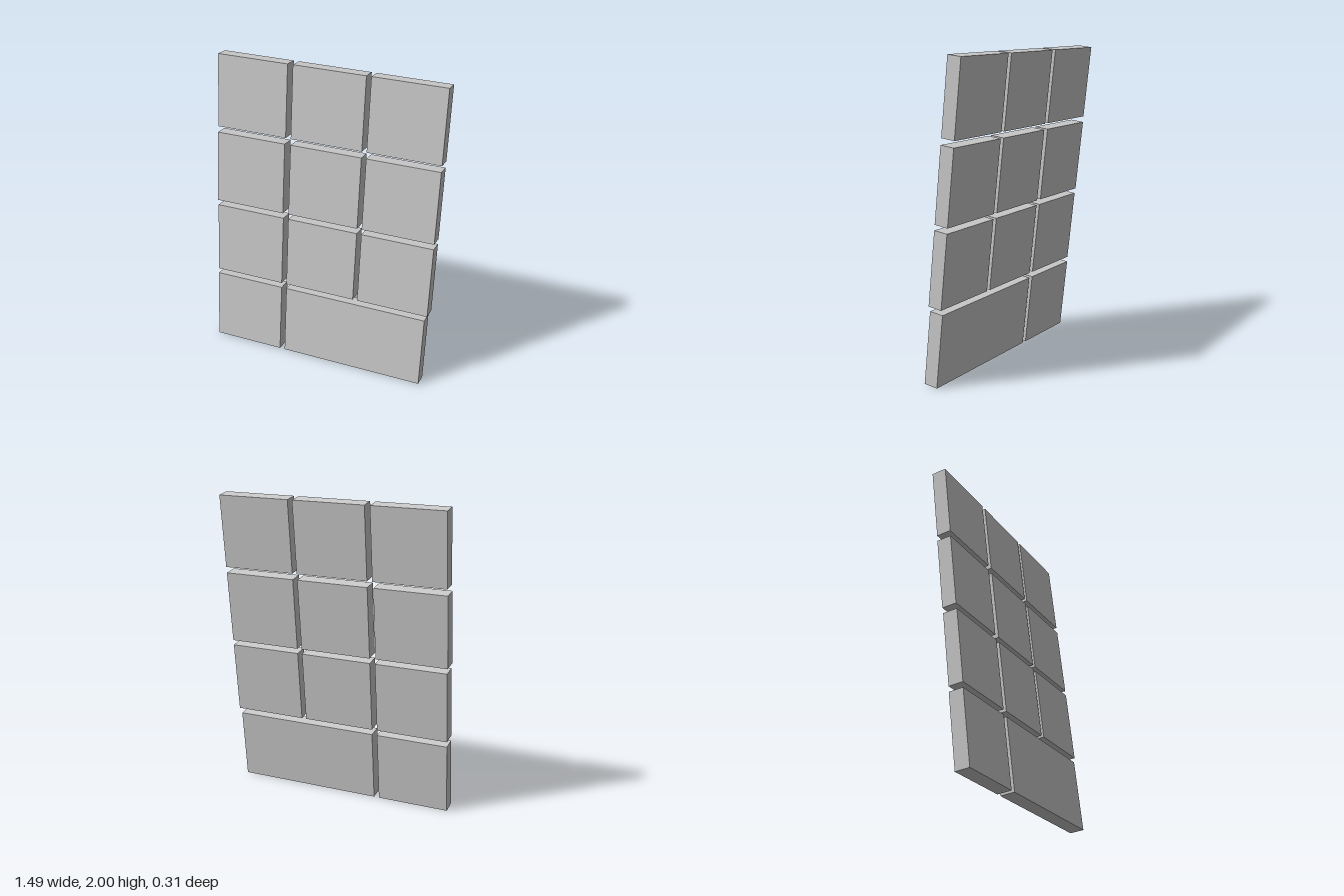
import * as THREE from 'three';

const TILT = -0.11;   // the panel leans back
const HEIGHT = 0.473; // tile height along the slope
const DEPTH = 0.093;

export function createModel() {
  const model = new THREE.Group();
  model.name = 'tilePanel';
  const material = new THREE.MeshStandardMaterial({ color: 0xcccccc, flatShading: true });

  // Left and right edges of the tiles in each row
  const left = [-0.742, -0.27], middle = [-0.235, 0.237], right = [0.268, 0.741];
  const rows = [
    { name: 'bottomRow', y: 0.241, z: 0.085, tiles: [left, [-0.235, 0.725]] },
    { name: 'lowerRow', y: 0.746, z: 0.031, tiles: [left, middle, right] },
    { name: 'upperRow', y: 1.25, z: -0.025, tiles: [[-0.746, -0.275], middle, right] },
    { name: 'topRow', y: 1.76, z: -0.082, tiles: [left, middle, right] },
  ];

  for (const { name, y, z, tiles } of rows) {
    const row = new THREE.Group();
    row.name = name;
    row.position.set(0, y, z);
    row.rotation.x = TILT;
    tiles.forEach(([x0, x1], i) => {
      const tile = new THREE.Mesh(new THREE.BoxGeometry(x1 - x0, HEIGHT, DEPTH), material);
      tile.name = x1 - x0 > 0.6 ? 'wideTile' : `squareTile${i + 1}`;
      tile.position.x = (x0 + x1) / 2;
      row.add(tile);
    });
    model.add(row);
  }
  return model;
}
